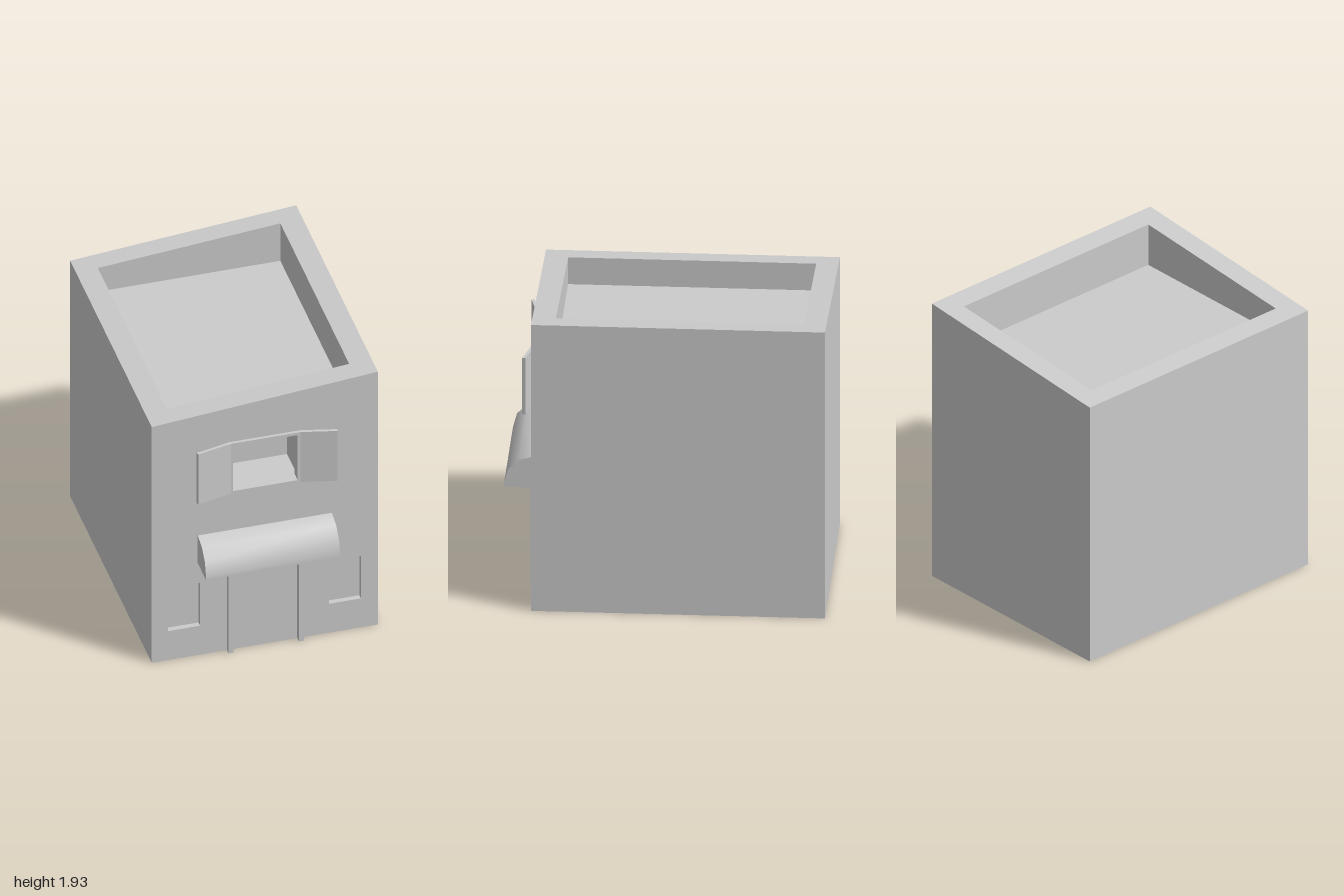
import * as THREE from 'three';
import { toCreasedNormals } from 'three/addons/utils/BufferGeometryUtils.js';

const W = 0.725, FRONT = 0.815, BACK = -1;
const roofY = (x) => 1.86 + x * 0.0897; // mono-pitch slope

const material = new THREE.MeshStandardMaterial({ color: 0xcccccc, side: THREE.DoubleSide });

const rect = (x0, y0, x1, y1) => [[x0, y0], [x1, y0], [x1, y1], [x0, y1]];
const toShape = (pts) => new THREE.Shape(pts.map(([x, y]) => new THREE.Vector2(x, y)));
const atZ = (pts, z) => pts.map(([x, y]) => [x, y, z]);

function shapeWithHoles(outline, holes = []) {
  const shape = toShape(outline);
  shape.holes = holes.map(toShape);
  return shape;
}

// Flat panel facing +z
function panel(outline, z, holes) {
  return new THREE.ShapeGeometry(shapeWithHoles(outline, holes)).translate(0, 0, z);
}

// Flat-shaded strip of quads joining two matching rows of points
function band(a, b, closed = true) {
  const pos = [];
  const n = closed ? a.length : a.length - 1;
  for (let i = 0; i < n; i++) {
    const j = (i + 1) % a.length;
    pos.push(...a[i], ...a[j], ...b[j], ...a[i], ...b[j], ...b[i]);
  }
  const g = new THREE.BufferGeometry();
  g.setAttribute('position', new THREE.Float32BufferAttribute(pos, 3));
  g.computeVertexNormals();
  return g;
}

export function createModel() {
  const model = new THREE.Group();
  const add = (name, geometry, parent = model) => {
    const mesh = new THREE.Mesh(geometry, material);
    mesh.name = name;
    parent.add(mesh);
    return mesh;
  };
  const group = (name) => {
    const g = new THREE.Group();
    g.name = name;
    model.add(g);
    return g;
  };

  // Openings in the front wall
  const archOuter = [[-0.243, 0], [-0.243, 0.62], [-0.083, 0.68], [0.078, 0.68], [0.24, 0.62], [0.24, 0]];
  const archInner = [[-0.212, 0], [-0.212, 0.6], [-0.077, 0.65], [0.073, 0.65], [0.208, 0.6], [0.208, 0]];
  const upperHole = rect(-0.225, 1.2, 0.225, 1.58);
  const lowerHoles = [rect(-0.62, 0.22, -0.415, 0.545), rect(0.413, 0.22, 0.617, 0.545)];

  // Walls: open-bottomed shell
  const wallOutline = [[-W, 0], ...archOuter, [W, 0], [W, roofY(W)], [-W, roofY(-W)]];
  add('frontWall', panel(wallOutline, FRONT, [upperHole, ...lowerHoles]));
  const corners = [[W, FRONT], [W, BACK], [-W, BACK], [-W, FRONT]];
  add('sideAndBackWalls', band(
    corners.map(([x, z]) => [x, 0, z]),
    corners.map(([x, z]) => [x, roofY(x), z]), false));

  // Roof: sloping rim around a sunken flat deck
  const roof = group('roof');
  const pit = rect(-0.587, -0.67, 0.583, 0.862);
  const rim = panel(rect(-W, -FRONT, W, -BACK), 0, [pit]).rotateX(-Math.PI / 2);
  const p = rim.attributes.position;
  for (let i = 0; i < p.count; i++) p.setY(i, roofY(p.getX(i)));
  rim.computeVertexNormals();
  add('roofRim', rim, roof);
  const deckY = 1.627;
  add('parapetInside', band(
    pit.map(([x, y]) => [x, roofY(x), -y]),
    pit.map(([x, y]) => [x, deckY, -y])), roof);
  add('roofDeck', panel(pit, deckY).rotateX(-Math.PI / 2), roof);

  // Door with a raised arched surround, hollow behind
  const door = group('door');
  const surroundZ = 0.852;
  add('doorPanel', panel(archInner, FRONT), door);
  add('doorSurroundFace', panel([...archOuter, ...[...archInner].reverse()], surroundZ), door);
  add('doorSurroundOuterEdge', band(atZ(archOuter, FRONT), atZ(archOuter, surroundZ), false), door);
  add('doorSurroundInnerEdge', band(atZ(archInner, surroundZ), atZ(archInner, FRONT), false), door);

  // Recessed windows: two shallow ones below, one deep one above
  const addRecess = (name, hole, depth) => {
    const g = group(name);
    add('windowReveal', band(atZ(hole, FRONT), atZ(hole, FRONT - depth)), g);
    add('windowBack', panel(hole, FRONT - depth), g);
    return g;
  };
  lowerHoles.forEach((hole, i) => addRecess(i ? 'leftLowerWindow' : 'rightLowerWindow', hole, 0.035));
  const upper = addRecess('upperWindow', upperHole, 0.285);
  const frame = shapeWithHoles(upperHole, [rect(-0.209, 1.218, 0.205, 1.56)]);
  add('windowFrame', new THREE.ExtrudeGeometry(frame, { depth: 0.068, bevelEnabled: false })
    .translate(0, 0, 0.767), upper);

  // Shutters hinged slightly away from the wall
  for (const side of [-1, 1]) {
    const hinge = group(side > 0 ? 'leftShutter' : 'rightShutter');
    hinge.position.set(side * 0.225, 1.39, 0.825);
    hinge.rotation.y = -side * 0.228;
    add('shutterPanel', new THREE.BoxGeometry(0.232, 0.38, 0.02), hinge).position.x = side * 0.114;
  }

  // Curved awning over the door, profile in z and y
  const r = 0.185, profile = [[0, 0.7]];
  for (let i = 3; i >= 0; i--) {
    const a = (i * Math.PI) / 6;
    if (i === 3) profile.push([r, 0.7]);
    profile.push([r * Math.sin(a), 0.725 + r * Math.cos(a)]);
  }
  const awning = new THREE.ExtrudeGeometry(
    toShape(profile.map(([z, y]) => [-z, y])), { depth: 0.86, bevelEnabled: false });
  awning.rotateY(Math.PI / 2).translate(-0.43, 0, FRONT);
  add('awning', toCreasedNormals(awning, 0.7));

  return model;
}
